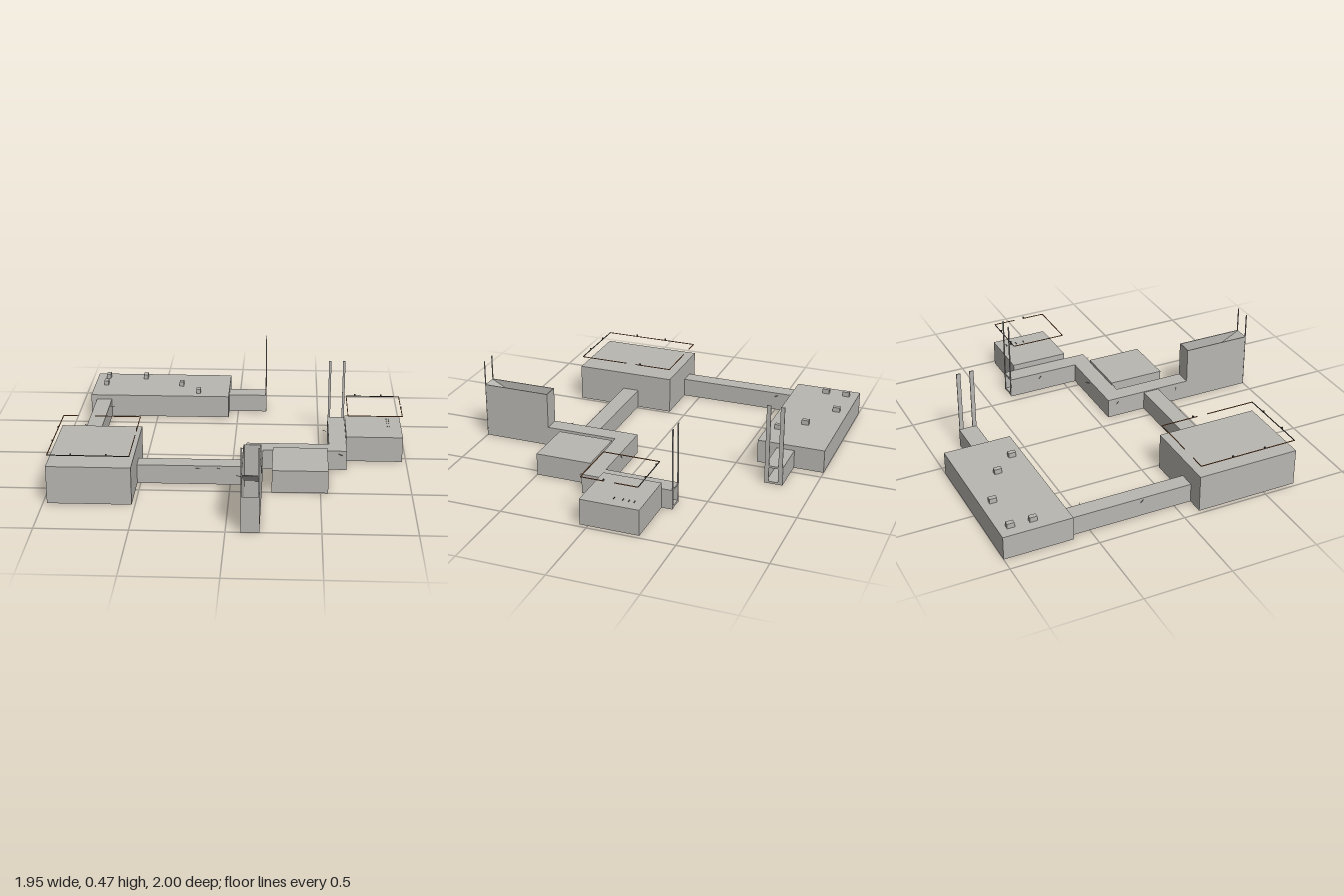
import * as THREE from 'three';

export function createModel() {
  const model = new THREE.Group();
  model.name = 'buildingComplex';
  const mat = (name, color) => {
    const m = new THREE.MeshStandardMaterial({ color });
    m.name = name;
    return m;
  };
  const concrete = mat('concrete grey', 0xb8b6b1);
  const dark = mat('dark metal', 0x4a4642);
  const brown = mat('orange brown trim', 0xa0683c);

  const add = (name, geometry, material) => {
    const mesh = new THREE.Mesh(geometry, material);
    mesh.name = name;
    model.add(mesh);
    return mesh;
  };
  // Box given by its limits on each axis
  const block = (name, [x0, x1], [y0, y1], [z0, z1], material = concrete) =>
    add(name, new THREE.BoxGeometry(x1 - x0, y1 - y0, z1 - z0)
      .translate((x0 + x1) / 2, (y0 + y1) / 2, (z0 + z1) / 2), material);

  // Rooms
  block('backRoom', [-0.915, -0.057], [0, 0.137], [-1, -0.608]);
  block('mainHall', [-0.978, -0.519], [0, 0.215], [0.1, 0.692]);
  block('sideRoom', [0.232, 0.542], [0, 0.13], [0.172, 0.5]);
  block('eastRoom', [0.652, 0.977], [0, 0.15], [-0.29, 0.048]);

  // Closed corridors
  block('westCorridor', [-0.88, -0.787], [0, 0.11], [-0.608, 0.1]);
  block('middleCorridor', [-0.519, 0.08], [0, 0.11], [0.31, 0.407]);
  block('rampCorridor', [0.08, 0.177], [0, 0.115], [0.177, 0.6]);
  block('crossCorridor', [0.08, 0.652], [0, 0.115], [0.075, 0.177]);

  // Hollow corridors with an open end, extruded along z
  const tunnel = (width, height, length) => {
    const rect = (Type, a, b, c, d) => new Type([[a, b], [c, b], [c, d], [a, d]]
      .map(([x, y]) => new THREE.Vector2(x, y)));
    const t = 0.012, w = width / 2;
    const shape = rect(THREE.Shape, -w, 0, w, height);
    shape.holes.push(rect(THREE.Path, -w + t, t, w - t, height - t));
    return new THREE.ExtrudeGeometry(shape, { depth: length, bevelEnabled: false });
  };
  add('northCorridor', tunnel(0.1, 0.115, 0.425).translate(0.602, 0, -0.35), concrete);
  add('backCorridor', tunnel(0.105, 0.108, 0.232).rotateY(Math.PI / 2)
    .translate(-0.057, 0, -0.773), concrete);

  // Ramp tower: thin walls round a sloping floor and a sloping ceiling
  for (const x of [0.08, 0.172]) block('towerSideWall', [x, x + 0.005], [0, 0.325], [0.6, 1]);
  block('towerBackWall', [0.085, 0.172], [0, 0.325], [0.6, 0.605]);
  const slope = (name, points) => {
    const shape = new THREE.Shape(points.map(([z, y]) => new THREE.Vector2(z, y)));
    add(name, new THREE.ExtrudeGeometry(shape, { depth: 0.087, bevelEnabled: false })
      .rotateY(-Math.PI / 2).translate(0.172, 0, 0), concrete);
  };
  slope('rampFloor', [[0.605, 0], [1, 0], [1, 0.2]]);
  slope('rampCeiling', [[0.605, 0.112], [1, 0.318], [1, 0.324], [0.605, 0.118]]);

  // Tall flat posts beside each open end
  for (const x of [0.079, 0.171]) block('towerPost', [x, x + 0.007], [0, 0.472], [0.996, 1]);
  for (const x of [0.554, 0.637]) block('northPost', [x, x + 0.014], [0, 0.472], [-0.352, -0.348]);
  for (const z of [-0.745, -0.823]) block('backPost', [0.171, 0.176], [0, 0.472], [z, z + 0.024]);

  // Roof vents on the back room
  for (const [x, z] of [[-0.843, -0.93], [-0.603, -0.93], [-0.843, -0.805], [-0.363, -0.805], [-0.248, -0.675]])
    block('roofVent', [x - 0.013, x + 0.013], [0.137, 0.165], [z - 0.021, z + 0.021]);

  // Thin rails floating above two roofs, with gaps at the doorways
  const half = 0.002, level = [0.276, 0.28];
  const railX = (z, material, spans) => spans.forEach(span =>
    block('railAcross', span, level, [z - half, z + half], material));
  const railZ = (x, spans) => spans.forEach(span =>
    block('railAlong', [x - half, x + half], level, span, brown));
  railX(0.683, dark, [[-0.97, -0.527]]);
  railX(0.107, brown, [[-0.97, -0.88], [-0.787, -0.527]]);
  railZ(-0.968, [[0.107, 0.683]]);
  railZ(-0.527, [[0.107, 0.33], [0.39, 0.683]]);
  railX(0.041, brown, [[0.658, 0.968]]);
  railX(-0.281, dark, [[0.658, 0.968]]);
  railZ(0.658, [[-0.281, 0.041]]);
  railZ(0.968, [[-0.281, -0.15], [-0.09, 0.041]]);

  // Small lamps on the rails
  for (const [x, z] of [[-0.968, 0.3], [-0.968, 0.495], [-0.84, 0.683], [-0.65, 0.683],
    [-0.527, 0.3], [0.708, -0.281], [0.862, -0.281], [0.968, -0.09]])
    block('railLamp', [x - 0.004, x + 0.004], [0.28, 0.289], [z - 0.004, z + 0.004], dark);

  // Tiny studs on the east roof
  for (const z of [-0.235, -0.205, -0.17, -0.12])
    for (const x of [0.896, 0.909])
      block('roofStud', [x - 0.002, x + 0.002], [0.15, 0.154], [z - 0.002, z + 0.002], dark);

  // Short thin brackets on the corridor walls
  for (const [x, z, turn] of [[-0.77, -0.51, -0.5], [-0.89, -0.2, -0.9], [-0.18, 0.417, -0.2],
    [-0.07, 0.412, -0.4], [0.05, 0.51, -0.5], [0.06, 0.125, -0.8], [0.35, 0.065, 0.7],
    [0.53, -0.17, -0.8], [0.617, 0.19, -0.8]]) {
    const bracket = add('wallBracket', new THREE.BoxGeometry(0.03, 0.003, 0.002), concrete);
    bracket.position.set(x, 0.098, z);
    bracket.rotation.y = turn;
  }
  return model;
}
